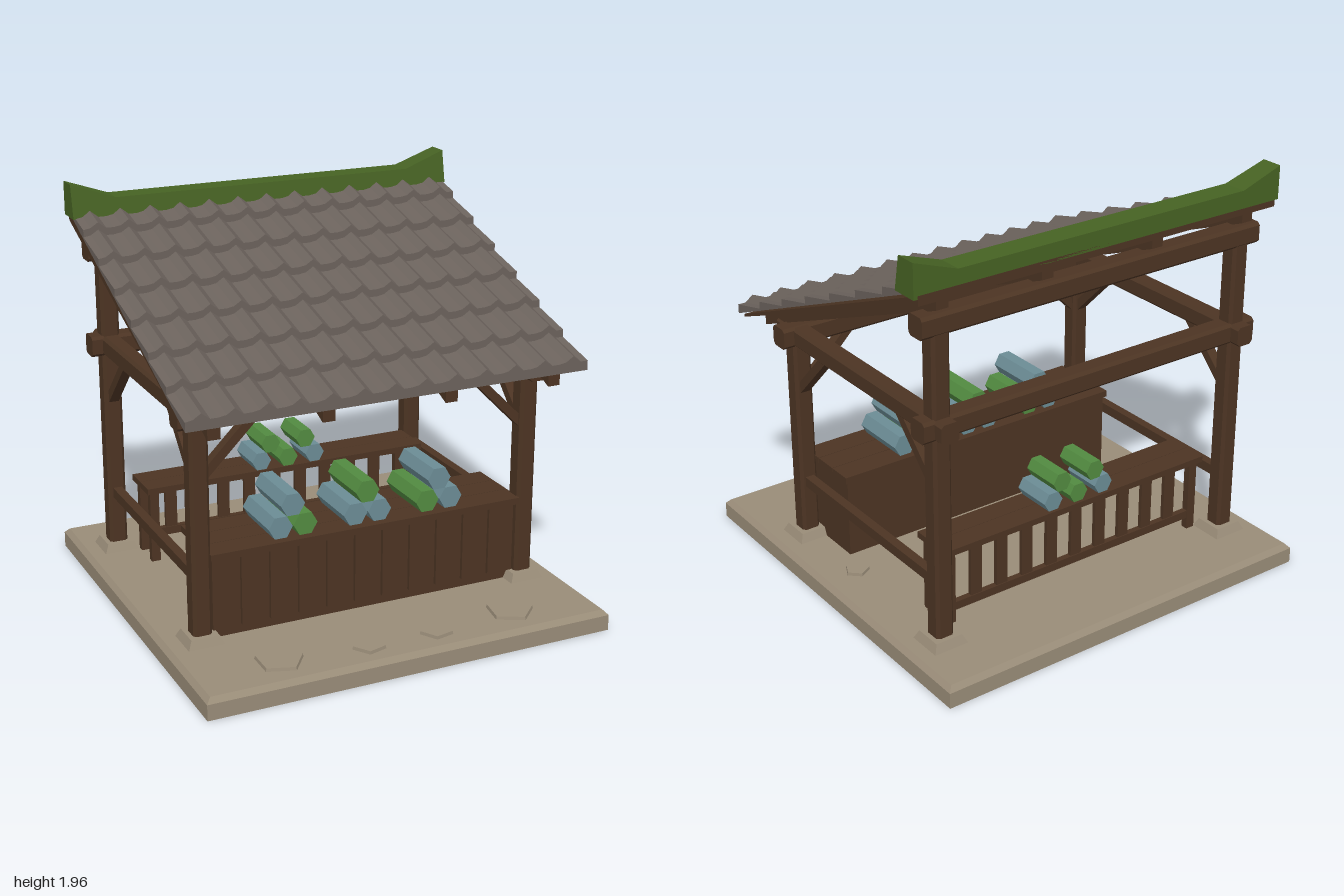
import * as THREE from 'three';

const mat = (name, color) => {
  const m = new THREE.MeshStandardMaterial({ color, flatShading: true });
  m.name = name;
  return m;
};

export function createModel() {
  const wood = mat('dark wood', 0x4c3423);
  const tile = mat('grey tile', 0x6b625c);
  const stone = mat('pale stone', 0x998c78);
  const moss = mat('moss green', 0x466223);
  const leaf = mat('leaf green', 0x528a40);
  const blue = mat('blue grey', 0x6b8c95);

  const root = new THREE.Group();
  root.name = 'marketStall';

  const add = (name, geo, material, x = 0, y = 0, z = 0) => {
    const m = new THREE.Mesh(geo, material);
    m.name = name;
    m.position.set(x, y, z);
    root.add(m);
    return m;
  };
  const box = (name, material, w, h, d, x, y, z) =>
    add(name, new THREE.BoxGeometry(w, h, d), material, x, y, z);
  const poly = (pts) => new THREE.Shape(pts.map(([a, b]) => new THREE.Vector2(a, b)));
  // extrusion centred on its depth
  const extrude = (pts, depth) =>
    new THREE.ExtrudeGeometry(poly(pts), { depth, bevelEnabled: false }).translate(0, 0, -depth / 2);
  // profile given as (z, y), extruded along x
  const extrudeX = (pts, depth) => extrude(pts, depth).rotateY(-Math.PI / 2);
  // square timber with chamfered long edges, running along z
  const timber = (w, h, len, c = 0.014) => {
    const a = w / 2, b = h / 2;
    return extrude([[-a + c, -b], [a - c, -b], [a, -b + c], [a, b - c],
      [a - c, b], [-a + c, b], [-a, b - c], [-a, -b + c]], len);
  };
  // square block narrowing towards the top
  const taper = (bottom, top, h) =>
    new THREE.CylinderGeometry(top / Math.SQRT2, bottom / Math.SQRT2, h, 4).rotateY(Math.PI / 4);

  // ---- stone platform and paving ----
  box('platform', stone, 2, 0.076, 2, 0, 0.038, 0);
  add('platformTop', taper(2, 1.955, 0.024), stone, 0, 0.088, 0);
  [[-0.585, 0.81, 0.115, 0.3], [-0.17, 0.85, 0.08, 0.9], [0.17, 0.85, 0.08, 2.1],
    [0.58, 0.81, 0.115, 1.4], [0.82, 0.03, 0.06, 0.5]].forEach(([x, z, r, turn]) => {
    add('pavingStone', new THREE.CylinderGeometry(r * 0.96, r, 0.016, 5), stone, x, 0.107, z).rotation.y = turn;
  });

  // ---- timber frame ----
  const PX = 0.825, ZF = 0.475, ZB = -0.675;
  for (const s of [-1, 1]) {
    for (const [z, top] of [[ZF, 1.2], [ZB, 1.62]]) {
      add('postFooting', taper(0.175, 0.135, 0.042), stone, s * PX, 0.12, z);
      add('post', timber(0.09, 0.09, top - 0.12).rotateX(Math.PI / 2), wood, s * PX, (top + 0.12) / 2, z);
    }
    add('sideBeam', timber(0.09, 0.095, 1.36), wood, s * PX, 1.168, -0.095);
    box('sideRail', wood, 0.045, 0.05, 1.06, s * PX, 0.405, -0.1);

    // diagonal braces
    const x0 = s * 0.785, x1 = s * 0.6, x2 = s * 0.54;
    add('frontBrace', extrude([[x0, 0.875], [x0, 0.935], [x1, 1.12], [x2, 1.12]], 0.05), wood, 0, 0, ZF);
    for (const [z, d] of [[0.435, -1], [-0.635, 1]]) {
      add('sideBrace', extrudeX([[z, 0.875], [z, 0.935], [z + d * 0.19, 1.125], [z + d * 0.25, 1.125]], 0.05),
        wood, s * PX, 0, 0);
    }
  }
  const crossBeam = (name, y, z, len) =>
    add(name, timber(0.1, 0.1, len).rotateY(Math.PI / 2), wood, 0, y, z);
  crossBeam('frontBeam', 1.17, ZF, 1.845);
  crossBeam('backBeam', 1.168, ZB, 1.845);
  crossBeam('topBackBeam', 1.64, ZB, 1.845);

  // ---- roof ----
  for (const x of [-0.83, -0.3, 0.3, 0.83]) {
    add('rafter', extrudeX([[0.71, 1.135], [0.71, 1.2], [-0.735, 1.78], [-0.735, 1.715]], 0.06), wood, x);
  }
  add('roofBoard', extrudeX([[0.72, 1.198], [0.72, 1.212], [-0.765, 1.815], [-0.765, 1.77]], 1.93), wood);

  // overlapping courses of wavy tiles
  const COLS = 13, PITCH = 0.15, HALF = 0.975;
  const profile = [[HALF, 0], [-HALF, 0]];
  for (let i = 0; i < COLS; i++) {
    const x = -HALF + i * PITCH;
    profile.push([x, 0.045], [x + 0.035, 0.051], [x + 0.072, 0.075], [x + 0.112, 0.045]);
  }
  profile.push([HALF, 0.045]);
  profile.reverse();
  for (let k = 0; k < 7; k++) {
    const len = k === 6 ? 0.2 : 0.24;
    const geo = extrude(profile, len).translate(0, 0, -len / 2);
    const p = geo.attributes.position;
    for (let i = 0; i < p.count; i++) {
      const slope = p.getY(i) < 0.01 ? 0.41 : 0.25;
      p.setY(i, p.getY(i) - p.getZ(i) * slope);
    }
    geo.computeVertexNormals();
    add('tileCourse', geo, tile, 0, 1.205 + 0.0875 * k, 0.757 - 0.2126 * k);
  }

  // ridge cap with raised ends and a sloping front
  const ridge = extrude([[-0.985, 1.8], [0.985, 1.8], [0.985, 1.96], [0.77, 1.885],
    [-0.77, 1.885], [-0.985, 1.96]], 0.135);
  const rp = ridge.attributes.position;
  for (let i = 0; i < rp.count; i++) {
    if (rp.getZ(i) > 0) rp.setZ(i, rp.getZ(i) - (rp.getY(i) - 1.8) * 0.19);
  }
  ridge.computeVertexNormals();
  add('ridgeCap', ridge, moss, 0, 0, -0.6975);

  // ---- counter ----
  box('counterBody', wood, 1.54, 0.395, 0.31, 0, 0.2975, 0.325);
  for (let i = 0; i < 11; i++) {
    box('counterPlank', wood, 0.131, 0.35, 0.02, -0.705 + i * 0.141, 0.32, 0.488);
  }
  for (let i = 0; i < 3; i++) {
    box('counterTopBoard', wood, 1.57, 0.032, 0.122, 0, 0.51, 0.218 + i * 0.125);
  }

  // ---- back bench with slatted back ----
  for (const z of [-0.447, -0.56]) box('benchTop', wood, 1.5, 0.03, 0.111, 0, 0.477, z);
  for (const s of [-1, 1]) {
    for (const z of [-0.428, -0.578]) box('benchLeg', wood, 0.045, 0.37, 0.035, s * 0.71, 0.28, z);
  }
  box('benchLowerRail', wood, 1.42, 0.04, 0.03, 0, 0.18, -0.578);
  for (let i = 0; i < 9; i++) {
    box('benchSlat', wood, 0.06, 0.28, 0.02, (i - 4) * 0.142, 0.33, -0.578);
  }

  // ---- hexagonal rolls of goods ----
  const roll = (material, x, y, z, r, len) => add('clothRoll',
    new THREE.CylinderGeometry(r, r, len, 6).rotateY(Math.PI / 2).rotateX(Math.PI / 2), material, x, y, z);
  const stack = (x, top, left, right) => {
    roll(top, x, 0.68, 0.34, 0.059, 0.3);
    roll(left, x - 0.061, 0.578, 0.34, 0.059, 0.3);
    roll(right, x + 0.061, 0.578, 0.34, 0.059, 0.3);
  };
  stack(-0.373, blue, blue, leaf);
  stack(0, leaf, blue, blue);
  stack(0.37, blue, leaf, blue);
  for (const s of [-1, 1]) {
    roll(blue, s * 0.145, 0.536, -0.5, 0.051, 0.2);
    roll(leaf, s * 0.095, 0.622, -0.5, 0.051, 0.2);
  }
  roll(leaf, 0, 0.536, -0.5, 0.051, 0.2);

  return root;
}
